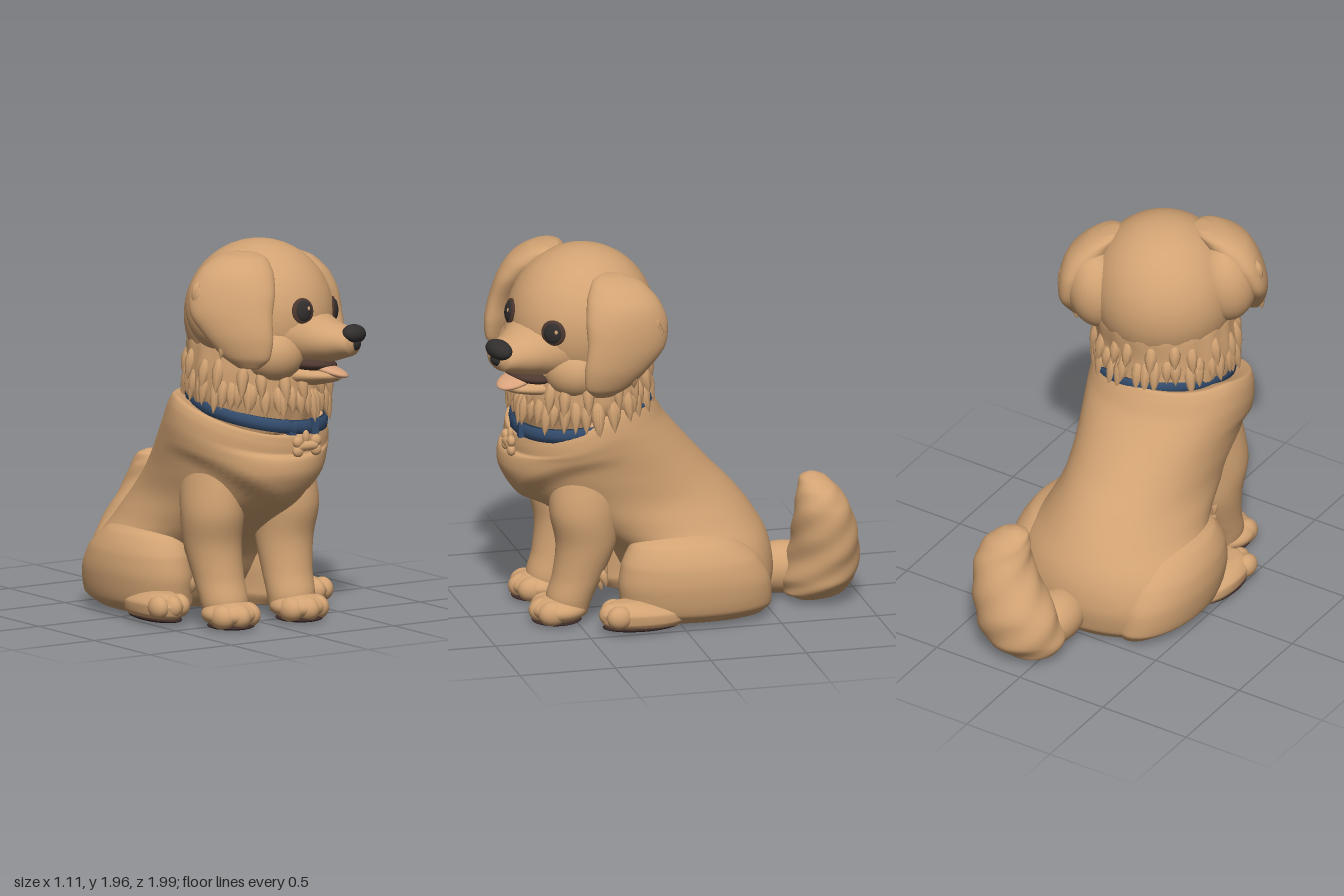
import * as THREE from 'three';
import { mergeGeometries } from 'three/addons/utils/BufferGeometryUtils.js';

const V = (x, y, z) => new THREE.Vector3(x, y, z);
const mat = (name, color) => Object.assign(new THREE.MeshStandardMaterial({ color }), { name });

// Smooth skin over elliptical level rings; rows are [cx, cy, cz, rx, rz], rising in y
function loft(rows, rule = null, steps = 40, n = 40) {
  const centre = new THREE.CatmullRomCurve3(rows.map(r => V(r[0], r[1], r[2])), false, 'centripetal');
  const size = new THREE.CatmullRomCurve3(rows.map(r => V(r[3], r[4], 0)));
  const pos = [], idx = [];
  for (let j = -1; j <= steps + 1; j++) {
    const t = Math.min(Math.max(j / steps, 0), 1);
    const c = centre.getPoint(t), s = size.getPoint(t);
    const k = j < 0 || j > steps ? 0 : 1;
    for (let i = 0; i < n; i++) {
      const a = (i / n) * Math.PI * 2;
      const p = V(c.x + k * s.x * Math.cos(a), c.y, c.z + k * s.y * Math.sin(a));
      if (rule) rule(p, a, t);
      pos.push(p.x, p.y, p.z);
    }
  }
  for (let j = 0; j < steps + 2; j++) for (let i = 0; i < n; i++) {
    const a = j * n + i, b = j * n + (i + 1) % n;
    idx.push(a, a + n, b, b, a + n, b + n);
  }
  const g = new THREE.BufferGeometry();
  g.setAttribute('position', new THREE.Float32BufferAttribute(pos, 3));
  g.setIndex(idx);
  g.computeVertexNormals();
  return g;
}

// Spindle-shaped lock of fur, rooted at p and pointing along dir
function lock(p, dir, length, radius) {
  const outline = [[0, 0], [0.7, 0.2], [1, 0.45], [0.65, 0.75], [0, 1]];
  const g = new THREE.LatheGeometry(outline.map(([r, y]) => new THREE.Vector2(r * radius, y * length)), 8);
  g.applyQuaternion(new THREE.Quaternion().setFromUnitVectors(V(0, 1, 0), dir.clone().normalize()));
  return g.translate(p.x, p.y, p.z);
}

export function createModel() {
  const root = new THREE.Group();
  root.name = 'sittingPuppy';
  const fur = mat('golden fur', 0xd2a373), dark = mat('black nose and eyes', 0x312e2d);
  const blue = mat('blue collar', 0x344d6e), sole = mat('dark brown pads', 0x3d2a27);
  const brown = mat('brown eye rim and mouth', 0x4d382f), pink = mat('tongue', 0xd8a27c);

  const add = (name, geo, material = fur, parent = root) => {
    const m = new THREE.Mesh(geo, material);
    m.name = name;
    parent.add(m);
    return m;
  };
  const ball = (name, p, r, material = fur, parent = root) => {
    const m = add(name, new THREE.SphereGeometry(1, 32, 22), material, parent);
    m.position.set(...p);
    m.scale.set(...r);
    return m;
  };
  let seed = 7;
  const rnd = () => (seed = (seed * 16807) % 2147483647) / 2147483647;
  const step = THREE.MathUtils.smoothstep;

  // Torso, given as [y, back z, front z, half width], with a raised V-shaped bib
  const torso = [
    [0.02, -0.5, 0.05, 0.4], [0.07, -0.54, 0.12, 0.47], [0.2, -0.565, 0.2, 0.5], [0.35, -0.54, 0.29, 0.47],
    [0.5, -0.46, 0.5, 0.405], [0.65, -0.34, 0.71, 0.375], [0.8, -0.2, 0.8, 0.39], [0.95, -0.07, 0.785, 0.41],
    [1.05, 0.01, 0.76, 0.415], [1.13, 0.05, 0.76, 0.405], [1.175, 0.08, 0.75, 0.38], [1.13, 0.16, 0.66, 0.28],
  ].map(([y, b, f, w]) => [-0.01, y, (b + f) / 2, w, (f - b) / 2]);
  add('torso', loft(torso, (p, a) => {
    const front = step(p.z, 0.2, 0.6);
    const bib = step(p.y - 0.58 - Math.abs(p.x) * 0.75, -0.02, 0.05) * front;
    p.z += 0.05 * bib * Math.max(0, Math.sin(a));
    p.x *= 1 + 0.06 * bib;
    p.y -= (0.38 * Math.max(0, p.z - 0.34) + 0.08 * p.x * front) * step(p.y, 0.85, 1.13);
  }, 70, 64));

  // Neck
  add('neck', loft([
    [0.03, 1.0, 0.44, 0.3, 0.3], [0.03, 1.1, 0.44, 0.335, 0.33], [0.04, 1.2, 0.44, 0.365, 0.35],
    [0.04, 1.32, 0.44, 0.365, 0.345], [0.05, 1.45, 0.43, 0.36, 0.35], [0.05, 1.6, 0.43, 0.3, 0.3],
  ], (p, a) => {
    const w = 1 + 0.012 * Math.sin(a * 17 + p.y * 9);
    p.x = 0.04 + (p.x - 0.04) * w;
    p.z = 0.44 + (p.z - 0.44) * w;
  }, 30, 72));

  // Collar: band following the slope of the neck
  const collarY = (x, z) => 1.105 - 0.18 * (z - 0.43) - 0.11 * (x - 0.04);
  const bandProfile = [[0.95, -0.033], [1, -0.033], [1.015, 0], [1, 0.033], [0.95, 0.033], [0.95, -0.033]];
  const band = new THREE.LatheGeometry(bandProfile.map(p => new THREE.Vector2(...p)), 64);
  const bp = band.attributes.position;
  for (let i = 0; i < bp.count; i++) {
    const x = 0.04 + bp.getX(i) * 0.358, z = 0.435 + bp.getZ(i) * 0.36;
    bp.setXYZ(i, x, bp.getY(i) + collarY(x, z), z);
  }
  band.computeVertexNormals();
  add('collar', band, blue);
  for (const x of [0.02, 0.16]) {
    const b = add('collarBuckle', new THREE.BoxGeometry(0.04, 0.08, 0.03), blue);
    b.position.set(x, 1.035, 0.78);
  }

  // Bone-shaped tag
  const tag = new THREE.Group();
  tag.name = 'boneTag';
  tag.position.set(0.085, 0.945, 0.825);
  root.add(tag);
  add('tagBar', new THREE.CapsuleGeometry(0.025, 0.08, 6, 12).rotateZ(Math.PI / 2), fur, tag);
  for (const x of [-1, 1]) for (const y of [-1, 1])
    ball('tagKnob', [x * 0.055, y * 0.024, 0], [0.03, 0.03, 0.022], fur, tag);
  ball('tagLoop', [0, 0.045, -0.01], [0.02, 0.035, 0.015], fur, tag);

  // Locks of fur mostly sunk into the neck, their tips hanging over the collar
  const locks = [];
  for (const [count, lift, out] of [[48, 0.18, 0.322], [19, 0.27, 0.325]]) for (let i = 0; i < count; i++) {
    const a = (i / count) * Math.PI * 2 + rnd() * 0.15, c = Math.cos(a), s = Math.sin(a);
    const x = 0.04 + (out + 0.01) * c, z = 0.44 + out * s, len = 0.15 + rnd() * 0.07;
    locks.push(lock(V(x, collarY(x, z) + lift + 0.02 * s + rnd() * 0.03, z), V(c * 0.25, -1, s * 0.25), len, 0.034));
  }
  // Feathering behind the front legs
  for (const s of [-1, 1]) for (let i = 0; i < 9; i++)
    locks.push(lock(V(-0.02 + s * (0.2 + 0.09 * rnd()), 0.58 - i * 0.04, 0.335 + i * 0.008), V(s * 0.15, -1, -0.3), 0.11, 0.025));
  add('furLocks', mergeGeometries(locks));

  // Legs and paws on both sides
  for (const s of [-1, 1]) {
    const side = s > 0 ? 'left' : 'right', x = v => -0.02 + s * v;
    add(side + 'FrontLeg', loft([
      [x(0.2), 0.05, 0.54, 0.11, 0.1], [x(0.205), 0.14, 0.53, 0.125, 0.12], [x(0.21), 0.25, 0.49, 0.13, 0.13],
      [x(0.22), 0.42, 0.45, 0.145, 0.155], [x(0.23), 0.6, 0.46, 0.155, 0.18], [x(0.22), 0.85, 0.42, 0.13, 0.2],
    ]));
    ball(side + 'FrontPaw', [x(0.21), 0.078, 0.59], [0.145, 0.07, 0.145]);
    for (const t of [-1, 0, 1])
      ball(side + 'FrontToe', [x(0.21) + t * 0.078, 0.072, 0.67 - 0.03 * Math.abs(t)], [0.06, 0.064, 0.075]);
    ball(side + 'FrontSole', [x(0.21), 0.02, 0.6], [0.118, 0.018, 0.128], sole);

    add(side + 'Haunch', loft([
      [s * 0.29, 0.02, -0.11, 0.15, 0.34], [s * 0.32, 0.08, -0.1, 0.2, 0.39], [s * 0.335, 0.2, -0.085, 0.21, 0.395],
      [s * 0.335, 0.33, -0.06, 0.2, 0.355], [s * 0.32, 0.43, -0.03, 0.16, 0.27], [s * 0.3, 0.485, -0.01, 0.08, 0.14],
    ]));
    add(side + 'HindFoot', loft([
      [s * 0.435, 0.025, 0.2, 0.08, 0.18], [s * 0.44, 0.06, 0.21, 0.1, 0.215], [s * 0.44, 0.1, 0.22, 0.105, 0.215],
      [s * 0.435, 0.145, 0.26, 0.08, 0.14], [s * 0.43, 0.165, 0.29, 0.04, 0.07],
    ]));
    for (const t of [-1, 0, 1])
      ball(side + 'HindToe', [s * 0.44 + t * 0.063, 0.1, 0.375 - 0.025 * Math.abs(t)], [0.05, 0.06, 0.065]);
    ball(side + 'HindSole', [s * 0.435, 0.032, 0.22], [0.095, 0.022, 0.2], sole);
  }

  // Bushy tail curling up and to the left, with slanting ridges
  ball('tailBase', [0.03, 0.15, -0.62], [0.135, 0.135, 0.2]);
  add('tail', loft([
    [0.09, 0.01, -0.75, 0.1, 0.1], [0.1, 0.05, -0.76, 0.18, 0.16], [0.12, 0.14, -0.79, 0.225, 0.19],
    [0.15, 0.27, -0.81, 0.22, 0.18], [0.2, 0.4, -0.8, 0.185, 0.165], [0.235, 0.53, -0.78, 0.15, 0.14],
    [0.225, 0.62, -0.76, 0.12, 0.105], [0.2, 0.675, -0.74, 0.075, 0.065], [0.19, 0.695, -0.735, 0.02, 0.02],
  ], (p, a, t) => {
    const w = 0.007 * Math.sin(t * 38 + a * 4) * (1 - t);
    p.x += w * Math.cos(a);
    p.z += w * Math.sin(a);
  }, 70));

  // Head, turned and tilted to its left
  const head = new THREE.Group();
  head.name = 'head';
  head.position.set(0.05, 1.55, 0.44);
  head.rotation.set(0, 0.48, -0.12, 'YXZ');
  root.add(head);
  ball('skull', [0, 0.02, 0], [0.375, 0.39, 0.385], fur, head);

  // Muzzle parts are lofted forward: rows are [forward, up, half width, half height]
  const forward = (name, rows) =>
    add(name, loft(rows.map(([f, u, w, h]) => [0, f, -u, w, h])).rotateX(Math.PI / 2), fur, head);
  forward('upperMuzzle', [
    [0.18, -0.03, 0.3, 0.22], [0.3, -0.05, 0.23, 0.165], [0.38, -0.07, 0.17, 0.125], [0.45, -0.08, 0.135, 0.1],
    [0.51, -0.08, 0.11, 0.08], [0.55, -0.085, 0.085, 0.06], [0.57, -0.085, 0.04, 0.03],
  ]);
  forward('lowerJaw', [
    [0.16, -0.26, 0.24, 0.1], [0.28, -0.26, 0.17, 0.065], [0.38, -0.262, 0.12, 0.043],
    [0.45, -0.258, 0.08, 0.03], [0.49, -0.255, 0.03, 0.015],
  ]);
  ball('mouthInside', [0, -0.205, 0.3], [0.15, 0.045, 0.145], brown, head);
  ball('tongue', [0, -0.225, 0.41], [0.078, 0.028, 0.12], pink, head).rotation.x = 0.25;
  ball('nose', [0, -0.035, 0.55], [0.083, 0.05, 0.055], dark, head);
  ball('noseTip', [0, -0.08, 0.555], [0.04, 0.042, 0.035], dark, head);

  for (const s of [-1, 1]) {
    const side = s > 0 ? 'left' : 'right';
    ball(side + 'Cheek', [s * 0.17, -0.16, 0.18], [0.17, 0.15, 0.16], fur, head);
    const eye = new THREE.Group();
    eye.name = side + 'Eye';
    eye.position.set(s * 0.165, 0.07, 0.337);
    eye.rotation.set(-0.12, s * 0.45, 0, 'YXZ');
    head.add(eye);
    ball('eyeRim', [0, 0, 0], [0.066, 0.066, 0.016], brown, eye);
    ball('eyeball', [0, 0, 0.005], [0.05, 0.054, 0.021], dark, eye);
    ball('eyeGlint', [0.022, 0.012, 0.022], [0.009, 0.011, 0.005], fur, eye);

    // Drooping ear wrapped around the skull, filled in behind
    add(side + 'Ear', loft([
      [0.42, -0.23, 0.17, 0.02, 0.05], [0.43, -0.18, 0.16, 0.05, 0.115], [0.435, -0.08, 0.12, 0.075, 0.17],
      [0.425, 0.03, 0.07, 0.09, 0.205], [0.385, 0.15, 0.05, 0.11, 0.21], [0.33, 0.25, 0.04, 0.12, 0.18],
      [0.26, 0.325, 0.03, 0.09, 0.12], [0.22, 0.35, 0.03, 0.04, 0.05],
    ].map(r => [s * r[0], ...r.slice(1)]), p => {
      p.x -= s * 0.26 * (p.z - 0.09);
    }), fur, head);
    ball(side + 'EarRoot', [s * 0.33, 0.07, -0.06], [0.155, 0.22, 0.17], fur, head);
    // Shaggy locks lying along the rear of the ear
    const earLocks = [];
    for (let i = 0; i < 16; i++) {
      const y = 0.2 - i * 0.018, z = -0.1 + 0.01 * i + 0.05 * rnd();
      earLocks.push(lock(V(s * (0.455 - 0.26 * (z - 0.09)), y, z), V(s * 0.1, -1, -0.1), 0.12, 0.026));
    }
    add(side + 'EarLocks', mergeGeometries(earLocks), fur, head);
  }
  return root;
}
